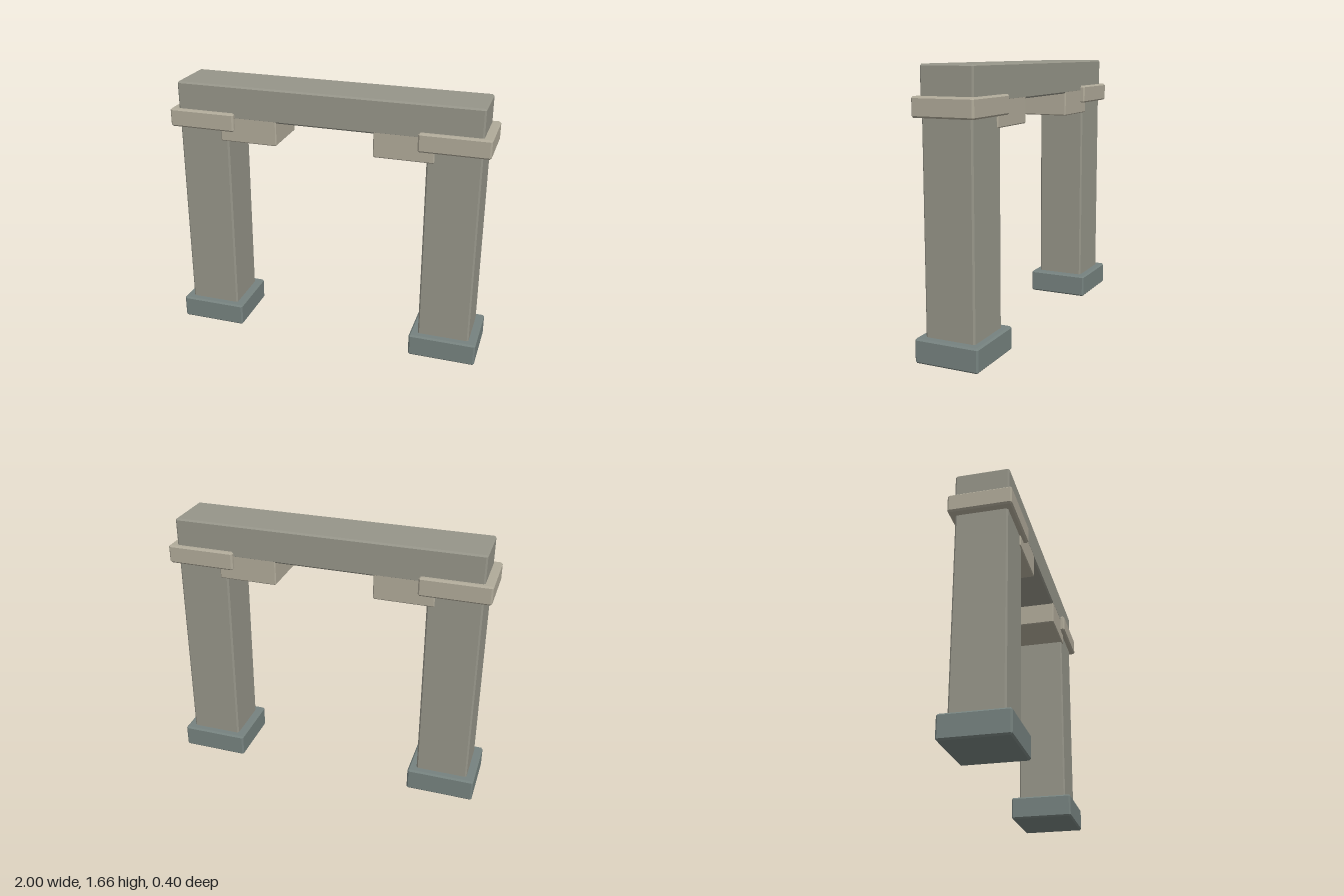
import * as THREE from 'three';
import { ConvexGeometry } from 'three/addons/geometries/ConvexGeometry.js';

// Box between two corners with all edges chamfered by c
function chamferBox(min, max, c) {
  const half = min.map((v, i) => (max[i] - v) / 2);
  const mid = min.map((v, i) => (max[i] + v) / 2);
  const points = [];
  for (const sx of [-1, 1]) for (const sy of [-1, 1]) for (const sz of [-1, 1]) {
    for (let full = 0; full < 3; full++) {
      const p = [sx, sy, sz].map((s, i) => s * (half[i] - (i === full ? 0 : c)));
      points.push(new THREE.Vector3(...p));
    }
  }
  return new ConvexGeometry(points).translate(...mid);
}

export function createModel() {
  const group = new THREE.Group();
  const material = (color) => new THREE.MeshStandardMaterial({ color, flatShading: true });
  const stone = material(0x969589);
  const paleStone = material(0xb0aa99);
  const slate = material(0x76827f);

  const add = (parent, name, mat, min, max, c = 0.01) => {
    const mesh = new THREE.Mesh(chamferBox(min, max, c), mat);
    mesh.name = name;
    parent.add(mesh);
  };

  // Beam across the top
  add(group, 'lintel', stone, [-0.95, 1.45, -0.163], [0.95, 1.66, 0.163]);

  // One support on each side: foot, pillar, collar and inner bracket
  for (const side of [-1, 1]) {
    const support = new THREE.Group();
    support.name = side > 0 ? 'leftSupport' : 'rightSupport';
    const part = (name, mat, x0, x1, y0, y1, z, c) => add(
      support, name, mat,
      [Math.min(side * x0, side * x1), y0, -z],
      [Math.max(side * x0, side * x1), y1, z], c);
    part('foot', slate, 0.575, 1, 0, 0.145, 0.2);
    part('pillar', stone, 0.625, 0.95, 0.003, 1.46, 0.156);
    part('collar', paleStone, 0.575, 1, 1.375, 1.49, 0.19);
    part('bracket', paleStone, 0.305, 0.672, 1.305, 1.49, 0.1625, 0.006);
    group.add(support);
  }
  return group;
}
